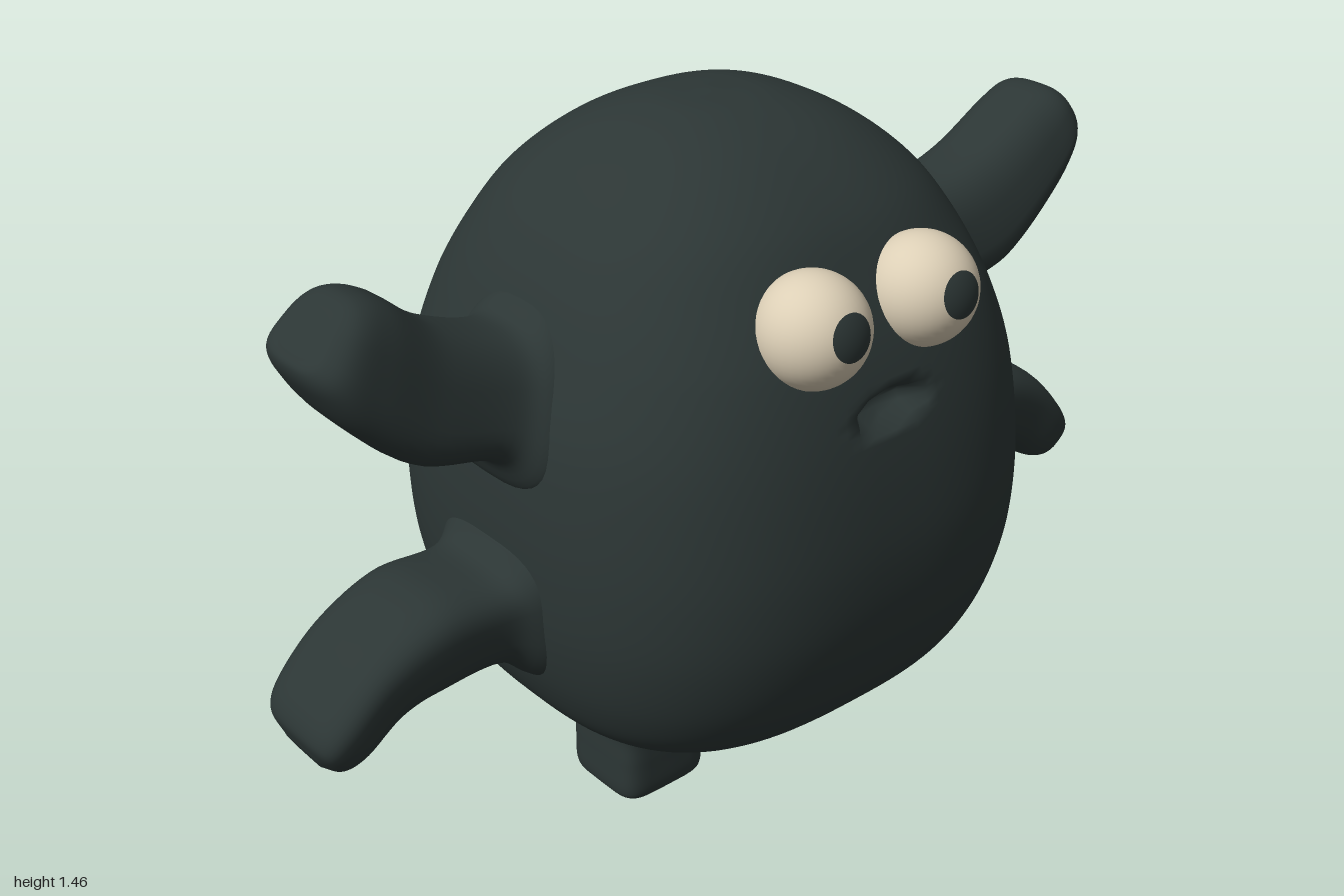
import * as THREE from 'three';

const dark = new THREE.MeshStandardMaterial({ color: 0x2c3635 });
dark.name = 'dark skin';
const cream = new THREE.MeshStandardMaterial({ color: 0xdccfb6 });
cream.name = 'cream eye';

const spow = (v, e) => Math.sign(v) * Math.pow(Math.abs(v), e);

// Smooth closed skin over rings of points, capped at both ends
function loft(rings) {
  const n = rings[0].length, pos = [], idx = [];
  rings.forEach(r => r.forEach(p => pos.push(p.x, p.y, p.z)));
  for (let i = 0; i < rings.length - 1; i++) {
    for (let j = 0; j < n; j++) {
      const a = i * n + j, b = i * n + (j + 1) % n;
      idx.push(a, b, a + n, b, b + n, a + n);
    }
  }
  [0, rings.length - 1].forEach((ri, k) => {
    const c = new THREE.Vector3();
    rings[ri].forEach(p => c.addScaledVector(p, 1 / n));
    const ci = pos.length / 3;
    pos.push(c.x, c.y, c.z);
    for (let j = 0; j < n; j++) {
      const a = ri * n + j, b = ri * n + (j + 1) % n;
      idx.push(...(k ? [a, b, ci] : [b, a, ci]));
    }
  });
  // Turn the faces outward when the enclosed volume is negative
  const v = i => new THREE.Vector3(pos[3 * i], pos[3 * i + 1], pos[3 * i + 2]);
  let volume = 0;
  for (let i = 0; i < idx.length; i += 3) volume += v(idx[i]).dot(v(idx[i + 1]).cross(v(idx[i + 2])));
  if (volume < 0) idx.reverse();
  const g = new THREE.BufferGeometry();
  g.setAttribute('position', new THREE.Float32BufferAttribute(pos, 3));
  g.setIndex(idx);
  g.computeVertexNormals();
  return g;
}

// Limb from sections [outerX, outerY, innerX, innerY, halfDepth]
function limb(name, sections, side, { power = 3, taper = 0 } = {}) {
  const curve = pts => new THREE.CatmullRomCurve3(pts, false, 'catmullrom', 0.5);
  const outer = curve(sections.map(s => new THREE.Vector3(s[0], s[1], s[4])));
  const inner = curve(sections.map(s => new THREE.Vector3(s[2], s[3], 0)));
  const rings = [], steps = sections.length * 6;
  for (let i = 0; i <= steps; i++) {
    const a = outer.getPoint(i / steps), b = inner.getPoint(i / steps), ring = [];
    for (let j = 0; j < 40; j++) {
      const t = j / 40 * Math.PI * 2;
      const u = spow(Math.cos(t), 2 / power), w = spow(Math.sin(t), 2 / power);
      const k = (1 + u) / 2;
      ring.push(new THREE.Vector3(
        side * (b.x + (a.x - b.x) * k), b.y + (a.y - b.y) * k,
        0.01 + w * a.z * (1 + taper * u)));
    }
    rings.push(ring);
  }
  const mesh = new THREE.Mesh(loft(rings), dark);
  mesh.name = name;
  return mesh;
}

// Egg-like body with squarish sections and a dented mouth
function body() {
  const profile = new THREE.CatmullRomCurve3([
    [0.02, 0.19, 0.02], [0.2, 0.192, 0.17], [0.34, 0.215, 0.29], [0.46, 0.3, 0.425],
    [0.515, 0.4, 0.49], [0.55, 0.54, 0.533], [0.56, 0.68, 0.545], [0.555, 0.82, 0.535],
    [0.535, 0.96, 0.51], [0.49, 1.09, 0.47], [0.44, 1.2, 0.415], [0.37, 1.3, 0.35],
    [0.25, 1.395, 0.235], [0.12, 1.445, 0.11], [0.01, 1.455, 0.01],
  ].map(p => new THREE.Vector3(...p)));
  const rings = [], steps = 140, n = 160;
  for (let i = 0; i <= steps; i++) {
    const p = profile.getPoint(i / steps), ring = [];
    const e = 2 / (p.y > 1.1 ? 2.8 - (p.y - 1.1) : 2.8);
    for (let j = 0; j < n; j++) {
      const t = j / n * Math.PI * 2;
      const q = new THREE.Vector3(p.x * spow(Math.cos(t), e), p.y, p.z * spow(Math.sin(t), e));
      const d = Math.hypot(q.x / 0.09, (q.y - 0.985) / 0.037);
      if (q.z > 0 && d < 1) q.z -= 0.05 * Math.min(1, (1 - d) * 2.5);
      ring.push(q);
    }
    rings.push(ring);
  }
  const mesh = new THREE.Mesh(loft(rings), dark);
  mesh.name = 'body';
  return mesh;
}

// Eyeball with a thin pupil cap facing forward
function eye(name, x) {
  const g = new THREE.Group();
  g.name = name;
  const ball = new THREE.Mesh(new THREE.SphereGeometry(0.108, 40, 28), cream);
  ball.name = 'eyeball';
  const pupil = new THREE.Mesh(new THREE.SphereGeometry(0.111, 32, 8, 0, Math.PI * 2, 0, 0.41), dark);
  pupil.name = 'pupil';
  pupil.rotation.x = Math.PI / 2 - 0.2;
  g.add(ball, pupil);
  g.position.set(x, 1.16, 0.432);
  return g;
}

export function createModel() {
  const model = new THREE.Group();
  model.name = 'roundCreature';
  model.add(body(), eye('leftEye', 0.13), eye('rightEye', -0.14));

  // Raised upper arms
  const armRoot = [[0.36, 1.17, 0.36, 0.82, 0.17], [0.45, 1.17, 0.53, 0.83, 0.165]];
  model.add(limb('leftUpperArm', [...armRoot,
    [0.54, 1.14, 0.59, 0.895, 0.13], [0.68, 1.175, 0.73, 0.935, 0.125], [0.82, 1.25, 0.86, 1.045, 0.12],
    [0.88, 1.27, 0.925, 1.13, 0.11], [0.92, 1.26, 0.95, 1.185, 0.08], [0.935, 1.24, 0.947, 1.21, 0.04],
  ], 1, { taper: -0.22 }));
  model.add(limb('rightUpperArm', [...armRoot,
    [0.52, 1.14, 0.6, 0.915, 0.13], [0.66, 1.19, 0.75, 0.96, 0.125], [0.755, 1.265, 0.86, 1.06, 0.12],
    [0.81, 1.288, 0.915, 1.14, 0.11], [0.85, 1.28, 0.932, 1.185, 0.08], [0.88, 1.255, 0.92, 1.21, 0.04],
  ], -1, { taper: -0.22 }));

  // Drooping lower arms
  const lowRoot = [[0.4, 0.73, 0.4, 0.42, 0.17], [0.53, 0.74, 0.51, 0.41, 0.165],
    [0.6, 0.68, 0.6, 0.475, 0.13], [0.74, 0.68, 0.74, 0.475, 0.13]];
  model.add(limb('leftLowerArm', [...lowRoot,
    [0.87, 0.615, 0.83, 0.43, 0.125], [0.965, 0.515, 0.895, 0.38, 0.12],
    [0.998, 0.455, 0.93, 0.37, 0.1], [0.995, 0.41, 0.965, 0.375, 0.05],
  ], 1, { taper: 0.1 }));
  model.add(limb('rightLowerArm', [...lowRoot,
    [0.87, 0.625, 0.82, 0.46, 0.125], [0.965, 0.54, 0.895, 0.41, 0.12],
    [0.998, 0.485, 0.94, 0.395, 0.1], [0.99, 0.44, 0.968, 0.4, 0.05],
  ], -1, { taper: 0.1 }));

  // Stubby legs
  for (const side of [1, -1]) {
    model.add(limb(side > 0 ? 'leftLeg' : 'rightLeg', [
      [0.36, 0.26, 0.08, 0.26, 0.14], [0.36, 0.22, 0.08, 0.205, 0.14], [0.32, 0.175, 0.105, 0.175, 0.108],
      [0.317, 0.1, 0.103, 0.1, 0.106], [0.317, 0.035, 0.103, 0.035, 0.105],
      [0.308, 0.01, 0.112, 0.01, 0.095], [0.28, 0, 0.14, 0, 0.07],
    ], side, { power: 5 }));
  }
  return model;
}
